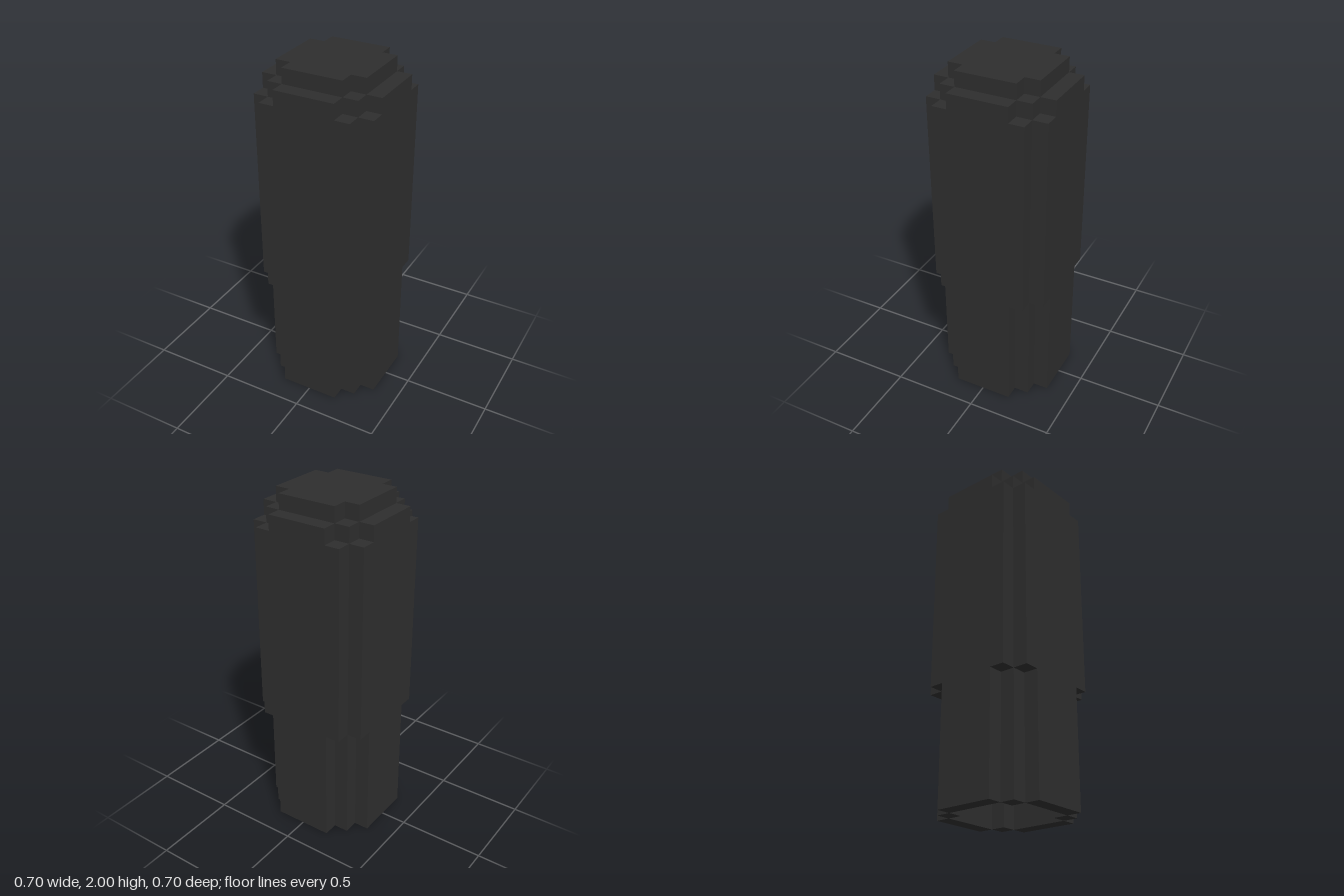
import * as THREE from 'three';

const U = 2 / 23; // one block

// Stepped corner in blocks, from the +x side round to the +z side
const CUT = (r) => [[r, r - 1], [r - 1, r - 1], [r - 1, r]];
const STAIR = [[4, 2], [3, 2], [3, 3], [2, 3], [2, 4]];

// Turn the corner four times to close the outline
function outline(corner, Type) {
  const pts = [];
  for (let q = 0; q < 4; q++) {
    for (const [x, y] of corner) {
      const [a, b] = [[x, y], [-y, x], [-x, -y], [y, -x]][q];
      pts.push(new THREE.Vector2(a * U, b * U));
    }
  }
  return new Type(pts);
}

export function createModel() {
  const group = new THREE.Group();
  const charcoal = new THREE.MeshStandardMaterial({ color: 0x2e2e2e });
  charcoal.name = 'charcoal';

  function layer(name, corner, from, to, hollow) {
    const shape = outline(corner, THREE.Shape);
    if (hollow) shape.holes.push(outline(CUT(3), THREE.Path));
    const geo = new THREE.ExtrudeGeometry(shape, { depth: (to - from) * U, bevelEnabled: false });
    geo.rotateX(-Math.PI / 2);
    const mesh = new THREE.Mesh(geo, charcoal);
    mesh.name = name;
    mesh.position.y = from * U;
    group.add(mesh);
  }

  layer('lowerSleeve', STAIR, 0, 8, true);
  layer('upperBody', CUT(4), 8, 21, true);
  layer('shoulder', STAIR, 21, 22, true);
  layer('topCap', CUT(3), 22, 23, false);
  return group;
}
